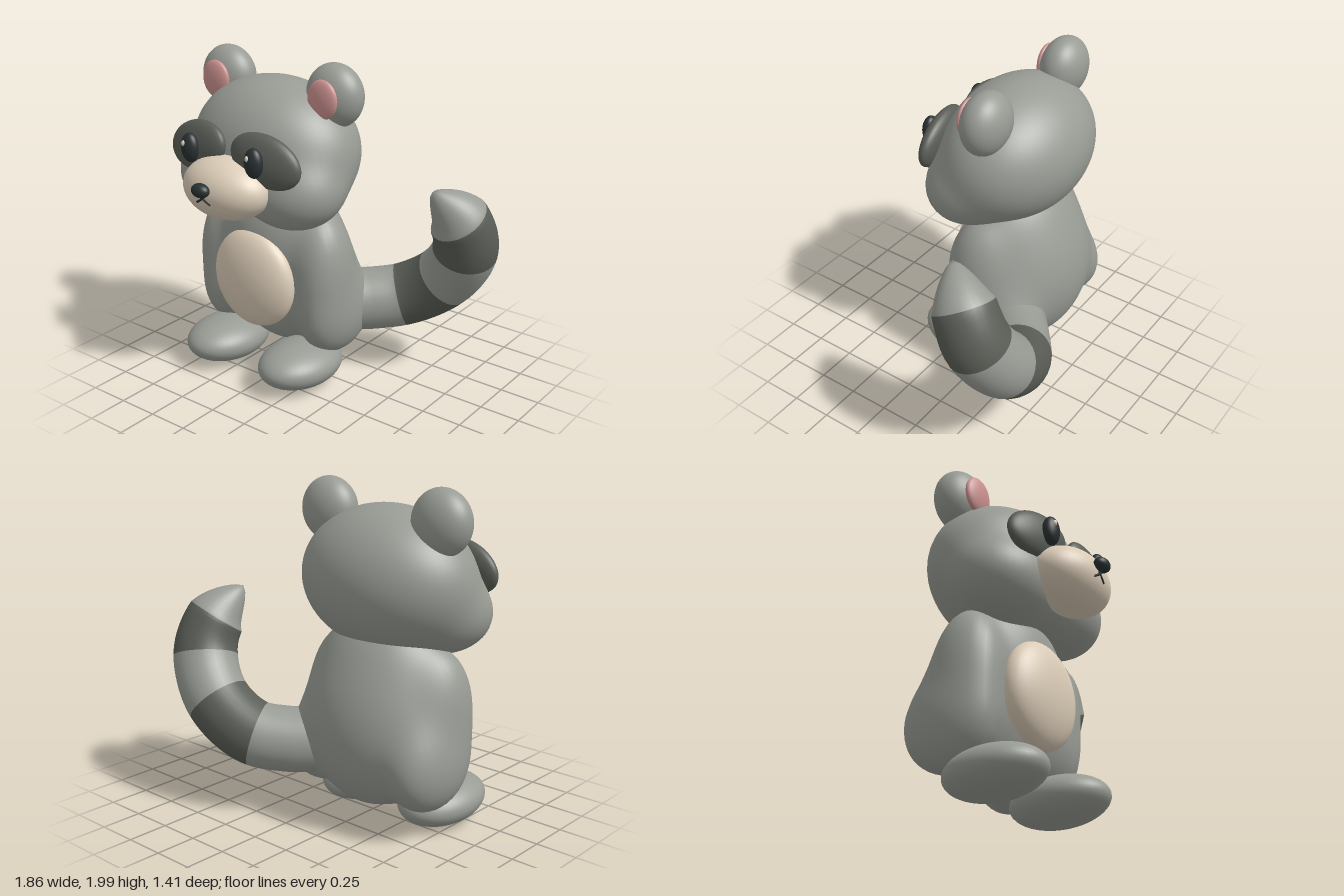
import * as THREE from 'three';
import { mergeVertices } from 'three/addons/utils/BufferGeometryUtils.js';

const mat = (name, color) => {
  const m = new THREE.MeshStandardMaterial({ color });
  m.name = name;
  return m;
};

// Weld a geometry and give it smooth normals across the seam
function smooth(geo) {
  geo.deleteAttribute('uv');
  geo.deleteAttribute('normal');
  const out = mergeVertices(geo, 1e-5);
  out.computeVertexNormals();
  return out;
}

// Sphere whose vertices are pushed out to the skin of softly blended ellipsoids
function blob(center, lumps, k) {
  const geo = new THREE.SphereGeometry(1, 80, 60);
  const pos = geo.attributes.position;
  const dir = new THREE.Vector3(), p = new THREE.Vector3();
  const inside = () => {
    let sum = 0;
    for (const [c, r] of lumps) {
      const q = Math.hypot((p.x - c[0]) / r[0], (p.y - c[1]) / r[1], (p.z - c[2]) / r[2]);
      sum += Math.exp(-k * (q - 1) * Math.min(...r));
    }
    return sum > 1;
  };
  for (let i = 0; i < pos.count; i++) {
    dir.fromBufferAttribute(pos, i).normalize();
    let lo = 0, hi = 1.2;
    for (let n = 0; n < 24; n++) {
      const mid = (lo + hi) / 2;
      p.copy(dir).multiplyScalar(mid).add(center);
      if (inside()) lo = mid; else hi = mid;
    }
    p.copy(dir).multiplyScalar(lo).add(center);
    pos.setXYZ(i, p.x, p.y, p.z);
  }
  return smooth(geo);
}

// Both mirrored copies of a lump
const pair = ([x, y, z], r) => [[[x, y, z], r], [[-x, y, z], r]];

export function createModel() {
  const fur = mat('grey fur', 0x999c95);
  const dark = mat('dark fur', 0x5b5e57);
  const cream = mat('cream', 0xdccdb8);
  const pink = mat('pink', 0xcd9391);
  const black = mat('black', 0x293132);

  const model = new THREE.Group();
  const figure = new THREE.Group();
  figure.name = 'figure';
  figure.position.x = -0.343;
  model.add(figure);

  const add = (name, geo, material, parent = figure) => {
    const mesh = new THREE.Mesh(geo, material);
    mesh.name = name;
    parent.add(mesh);
    return mesh;
  };
  const ball = (name, material, at, radii, rot = [0, 0, 0]) => {
    const mesh = add(name, new THREE.SphereGeometry(1, 40, 28), material);
    mesh.position.set(...at);
    mesh.scale.set(...radii);
    mesh.rotation.set(...rot);
    return mesh;
  };

  // Body: torso, chest, arms and haunches blended together
  add('body', blob(new THREE.Vector3(0, 0.65, -0.07), [
    [[0, 0.6, -0.115], [0.42, 0.47, 0.325]],
    [[0, 0.9, -0.025], [0.37, 0.38, 0.285]],
    ...pair([0.395, 0.745, 0.04], [0.13, 0.28, 0.165]),
    ...pair([0.395, 0.43, -0.08], [0.15, 0.24, 0.26]),
  ], 19), fur);
  ball('belly', cream, [0, 0.66, 0.235], [0.298, 0.315, 0.133]);

  // Head: skull with full cheeks
  add('head', blob(new THREE.Vector3(0, 1.42, 0.03), [
    [[0, 1.458, 0.003], [0.55, 0.417, 0.41]],
    ...pair([0.25, 1.27, 0.165], [0.31, 0.235, 0.262]),
  ], 24), fur);

  // Muzzle, nose and mouth
  ball('muzzle', cream, [-0.005, 1.305, 0.45], [0.293, 0.185, 0.2]);
  ball('nose', black, [-0.01, 1.345, 0.665], [0.06, 0.042, 0.042]);
  for (const s of [-1, 1]) {
    const curve = new THREE.QuadraticBezierCurve3(
      new THREE.Vector3(-0.01 - s * 0.012, 1.305, 0.65),
      new THREE.Vector3(-0.01 + s * 0.015, 1.28, 0.649),
      new THREE.Vector3(-0.01 + s * 0.052, 1.26, 0.64));
    add('mouth', new THREE.TubeGeometry(curve, 12, 0.007, 8), black);
  }

  // Mirrored parts: ears, eye patches, eyes and feet
  for (const s of [-1, 1]) {
    const side = s > 0 ? 'left' : 'right';
    ball(side + 'Ear', fur, [s * 0.403, 1.811, -0.04], [0.184, 0.189, 0.134]);
    ball(side + 'InnerEar', pink, [s * 0.403, 1.81, 0.082], [0.102, 0.115, 0.036]);
    ball(side + 'EyePatch', dark, [s * 0.256 - 0.007, 1.5, 0.402], [0.235, 0.15, 0.07], [-0.1, s * 0.14, s * -0.25]);
    ball(side + 'Eye', black, [s * 0.242 - 0.008, 1.507, 0.487], [0.06, 0.088, 0.045]);
    ball(side + 'EyeGlint', cream, [s * 0.242 - 0.024, 1.538, 0.524], [0.014, 0.018, 0.012]);
    ball(side + 'Foot', fur, [s * 0.297, 0.144, 0.165], [0.226, 0.138, 0.308], [-0.05, 0, 0]);
  }

  // Tail: tapered tube with ring bands
  const path = new THREE.CatmullRomCurve3([
    [0.0, 0.45, -0.2], [0.15, 0.45, -0.33], [0.33, 0.49, -0.455], [0.57, 0.66, -0.505],
    [0.725, 0.9, -0.45], [0.725, 1.1, -0.365], [0.625, 1.3, -0.215],
  ].map(a => new THREE.Vector3(...a)));
  const segs = 60, sides = 32;
  const tail = new THREE.TubeGeometry(path, segs, 1, sides);
  const pos = tail.attributes.position, v = new THREE.Vector3();
  for (let i = 0; i <= segs; i++) {
    const u = i / segs, t = Math.max(0, (u - 0.83) / 0.17);
    const radius = (0.197 - 0.017 * THREE.MathUtils.smoothstep(u, 0.65, 0.87)) * Math.pow(1 - Math.min(1, t), 0.68);
    const c = path.getPointAt(u);
    for (let j = 0; j <= sides; j++) {
      const n = i * (sides + 1) + j;
      v.fromBufferAttribute(pos, n).sub(c).multiplyScalar(radius).add(c);
      pos.setXYZ(n, v.x, v.y, v.z);
    }
  }
  const tailGeo = smooth(tail);
  const bands = [0, 15, 28, 40, 50, segs];
  tailGeo.clearGroups();
  for (let b = 0; b < 5; b++) {
    tailGeo.addGroup(bands[b] * sides * 6, (bands[b + 1] - bands[b]) * sides * 6, b % 2);
  }
  add('tail', tailGeo, [fur, dark], model);

  return model;
}
